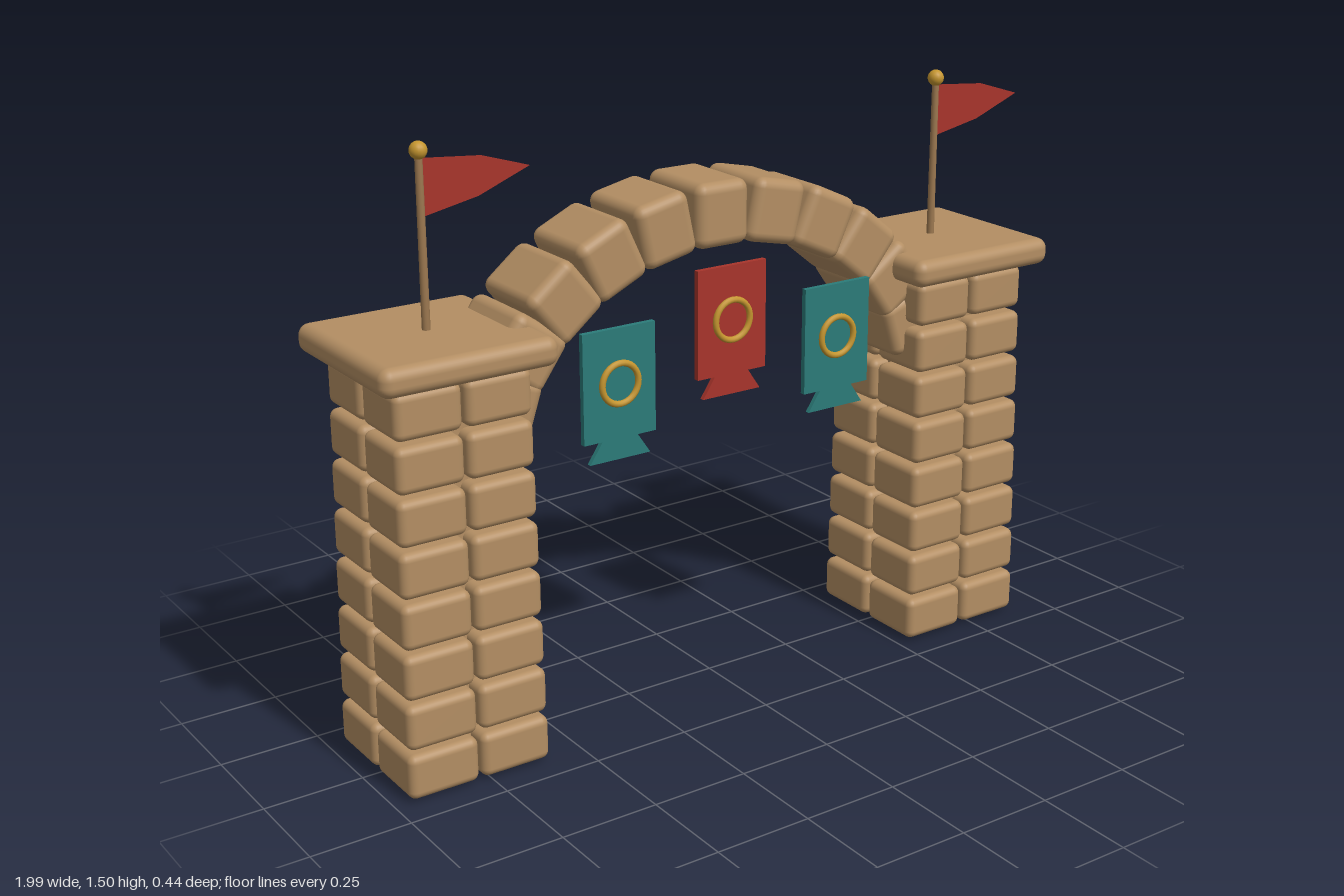
import * as THREE from 'three';
import { RoundedBoxGeometry } from 'three/addons/geometries/RoundedBoxGeometry.js';

const material = (name, color, side = THREE.FrontSide) => {
  const m = new THREE.MeshStandardMaterial({ color, side });
  m.name = name;
  return m;
};
const stone = material('sandstone', 0xb38e63);
const wood = material('pole wood', 0x9c7850);
const red = material('red cloth', 0xa8342b, THREE.DoubleSide);
const teal = material('teal cloth', 0x2b7b79, THREE.DoubleSide);
const gold = material('gold', 0xc4952f);

function add(parent, name, geometry, mat, x = 0, y = 0, z = 0) {
  const mesh = new THREE.Mesh(geometry, mat);
  mesh.name = name;
  mesh.position.set(x, y, z);
  parent.add(mesh);
  return mesh;
}

const polygon = (points) => new THREE.Shape(points.map(([x, y]) => new THREE.Vector2(x, y)));

// Square tower: recessed core, eight tapering courses of 2 x 2 blocks, cap slab, flagpole
function createTower(x) {
  const tower = new THREE.Group();
  tower.name = 'tower';
  tower.position.x = x;
  add(tower, 'core', new THREE.BoxGeometry(0.25, 1.0, 0.25), stone, 0, 0.5, 0);
  const courses = 8, pitch = 0.1247, gap = 0.004;
  for (let i = 0; i < courses; i++) {
    const half = 0.186 - 0.0018 * i;
    const size = half - gap;
    const geometry = new RoundedBoxGeometry(size, 0.113, size, 3, 0.02);
    for (const sx of [-1, 1]) for (const sz of [-1, 1]) {
      add(tower, 'towerBlock', geometry, stone,
        sx * (gap + size / 2), 0.064 + i * pitch, sz * (gap + size / 2));
    }
  }
  add(tower, 'capSlab', new RoundedBoxGeometry(0.444, 0.07, 0.444, 4, 0.028), stone, 0, 1.035, 0);

  add(tower, 'flagpole', new THREE.CylinderGeometry(0.009, 0.01, 0.42, 12), wood, 0, 1.265, 0);
  add(tower, 'poleBall', new THREE.SphereGeometry(0.021, 16, 12), gold, 0, 1.481, 0);
  const pennant = polygon([[0, 1.33], [0.14, 1.358], [0.275, 1.411], [0.15, 1.45], [0, 1.463]]);
  add(tower, 'pennant', new THREE.ShapeGeometry(pennant), red, 0.006, 0, 0);
  return tower;
}

// Elliptical arch of rounded blocks, each turned to the curve's normal
function createArch() {
  const arch = new THREE.Group();
  arch.name = 'arch';
  const a = 0.62, b = 0.5, springY = 0.75;
  const geometry = new RoundedBoxGeometry(0.15, 0.16, 0.23, 3, 0.026);
  for (let i = -5; i <= 5; i++) {
    const t = i * Math.PI / 12;
    const block = add(arch, 'archBlock', geometry, stone,
      a * Math.sin(t), springY + b * Math.cos(t), 0);
    block.rotation.z = -Math.atan2(Math.sin(t) / a, Math.cos(t) / b);
  }
  return arch;
}

// Hanging banner with a flared tail and a gold ring
function createBanner(x, y, cloth) {
  const banner = new THREE.Group();
  banner.name = 'banner';
  banner.position.set(x, y, 0.137);
  add(banner, 'bannerCloth', new THREE.BoxGeometry(0.2, 0.272, 0.014), cloth);
  const tail = polygon([[-0.084, -0.188], [0.084, -0.188], [0.045, -0.13], [-0.045, -0.13]]);
  add(banner, 'bannerTail',
    new THREE.ExtrudeGeometry(tail, { depth: 0.012, bevelEnabled: false }), cloth, 0, 0, -0.006);
  add(banner, 'bannerRing', new THREE.TorusGeometry(0.05, 0.008, 10, 32), gold, 0, 0.001, 0.01);
  return banner;
}

export function createModel() {
  const model = new THREE.Group();
  model.name = 'stoneGateway';
  const gate = new THREE.Group();
  gate.name = 'gate';
  gate.position.x = -0.034; // flags reach past the right-hand tower
  gate.add(createTower(-0.744), createTower(0.744), createArch());
  gate.add(createBanner(0, 0.998, red));
  for (const side of [-1, 1]) gate.add(createBanner(side * 0.322, 0.899, teal));
  model.add(gate);
  return model;
}
